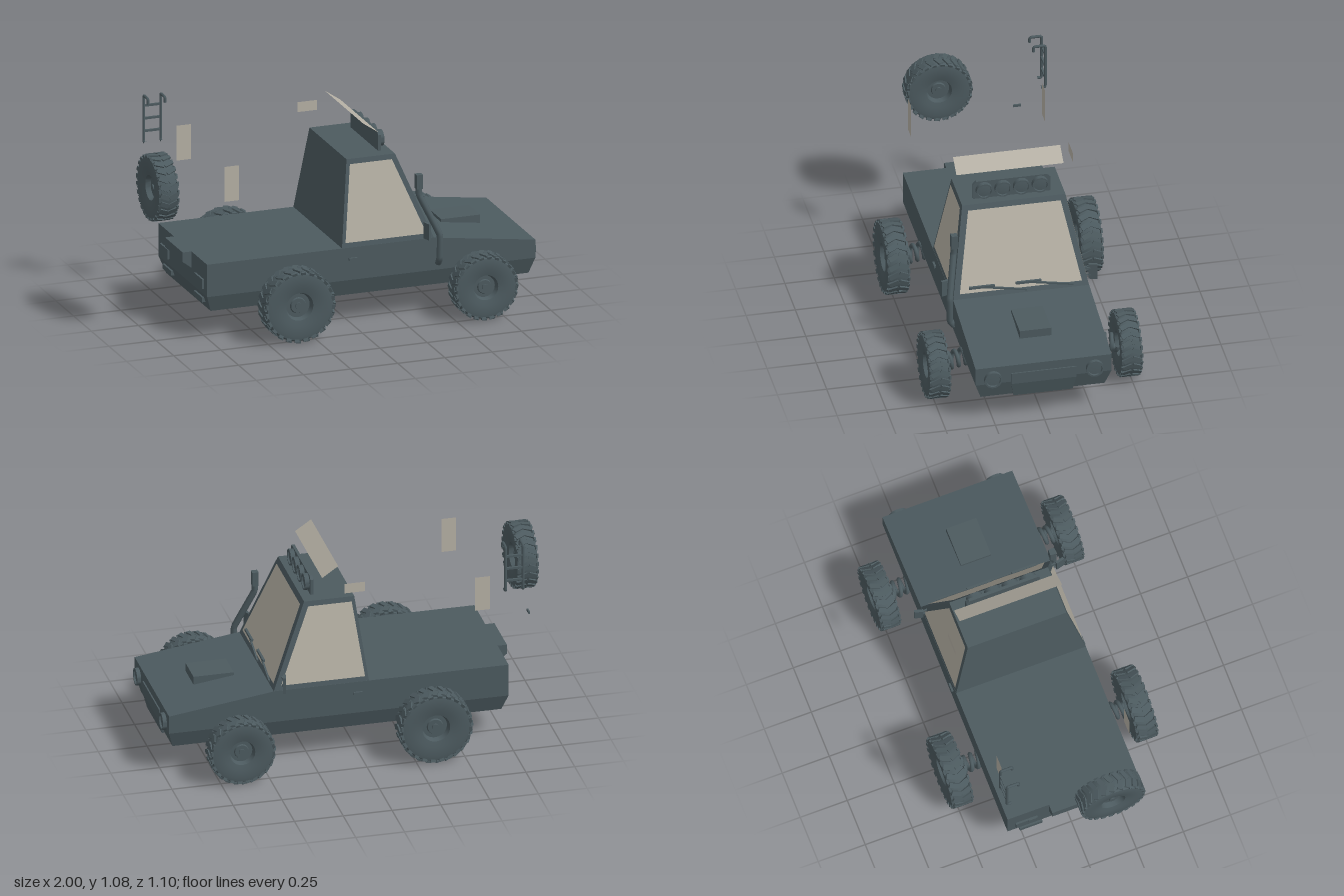
import * as THREE from 'three';
import { toCreasedNormals } from 'three/addons/utils/BufferGeometryUtils.js';
import { ConvexGeometry } from 'three/addons/geometries/ConvexGeometry.js';

const V = (x, y, z) => new THREE.Vector3(x, y, z);

export function createModel() {
  const root = new THREE.Group();
  const paint = new THREE.MeshStandardMaterial({ color: 0x4c5a5f });
  paint.name = 'slate paint';
  const glass = new THREE.MeshStandardMaterial({ color: 0xb5b0a4, side: THREE.DoubleSide });
  glass.name = 'smoked glass';

  const add = (name, geo, mat = paint, parent = root) => {
    const m = new THREE.Mesh(geo, mat);
    m.name = name;
    parent.add(m);
    return m;
  };
  const box = (name, w, h, d, x, y, z, parent = root) => {
    const m = add(name, new THREE.BoxGeometry(w, h, d), paint, parent);
    m.position.set(x, y, z);
    return m;
  };
  // Solid from a side profile of [x, y, half width]
  const slab = (name, profile) =>
    add(name, new ConvexGeometry(profile.flatMap(([x, y, w]) => [V(x, y, w), V(x, y, -w)])));
  // Flat four-cornered plate
  const pane = (name, corners) => {
    const g = new THREE.BufferGeometry().setFromPoints(corners);
    g.setIndex([0, 1, 2, 0, 2, 3]);
    g.computeVertexNormals();
    return add(name, g, glass);
  };
  const tube = (name, pts, r, tension = 0.1, parent = root) =>
    add(name, new THREE.TubeGeometry(
      new THREE.CatmullRomCurve3(pts, false, 'catmullrom', tension), pts.length * 6, r, 8), paint, parent);
  // Straight bar between two points
  const bar = (name, a, b, t) => {
    const m = add(name, new THREE.BoxGeometry(t, t, a.distanceTo(b)));
    m.position.copy(a).lerp(b, 0.5);
    m.lookAt(b);
    return m;
  };

  // Bodywork
  slab('upperBody', [[-0.765, 0.405, 0.345], [0.43, 0.405, 0.345], [0.975, 0.33, 0.345],
    [0.975, 0.235, 0.345], [-0.765, 0.235, 0.345]]);
  slab('lowerBody', [[-0.765, 0.235, 0.345], [0.975, 0.235, 0.345], [0.95, 0.15, 0.315], [-0.735, 0.15, 0.315]]);
  slab('cabin', [[-0.05, 0.4, 0.345], [0.44, 0.4, 0.345], [0.262, 0.84, 0.262], [0.005, 0.84, 0.262]]);
  slab('hoodScoop', [[0.575, 0.4, 0.08], [0.782, 0.4, 0.08], [0.782, 0.355, 0.08], [0.575, 0.38, 0.08]]);
  slab('rearLip', [[-0.76, 0.405, 0.125], [-0.812, 0.405, 0.125], [-0.812, 0.355, 0.125], [-0.76, 0.315, 0.125]]);
  slab('noseGuard', [[0.97, 0.285, 0.165], [0.982, 0.285, 0.165], [0.982, 0.225, 0.165], [0.97, 0.225, 0.165]]);
  slab('skidPlate', [[0.94, 0.225, 0.165], [0.982, 0.225, 0.165], [0.962, 0.145, 0.15], [0.94, 0.145, 0.15]]);

  // Cabin glass, laid just outside the frame
  const sideZ = y => 0.348 - (y - 0.4) * 0.1886;
  const screenX = y => 0.444 - (y - 0.4) * 0.4045;
  pane('windscreen', [[0.43, 0.31], [0.43, -0.31], [0.815, -0.235], [0.815, 0.235]]
    .map(([y, z]) => V(screenX(y), y, z)));
  for (const s of [1, -1]) {
    pane('sideWindow', [[-0.03, 0.43], [0.4, 0.43], [0.243, 0.815], [0.02, 0.815]]
      .map(([x, y]) => V(x, y, s * sideZ(y))));
  }

  // Detached glass plates
  const upright = (x0, x1, y0, y1, z) =>
    pane('loosePane', [V(x0, y0, z), V(x1, y0, z), V(x1, y1, z), V(x0, y1, z)]);
  upright(-0.67, -0.595, 0.722, 0.905, 0.34);
  upright(-0.67, -0.595, 0.722, 0.905, -0.34);
  upright(-0.03, 0.075, 0.9, 0.952, -0.34);
  pane('looseRoofPane', [V(0.09, 1.02, 0.272), V(0.172, 0.964, 0.272), V(0.172, 0.964, -0.272), V(0.09, 1.02, -0.272)]);

  // Round lamp facing forward
  const lamp = (name, x, y, z, r, depth) => {
    const pts = [[0, 0], [r, 0], [r, depth], [r * 0.82, depth], [r * 0.78, depth * 0.7], [0, depth * 0.85]];
    const g = new THREE.LatheGeometry(pts.map(p => new THREE.Vector2(...p)), 28);
    const m = add(name, toCreasedNormals(g, 0.5));
    m.rotation.z = -Math.PI / 2;
    m.position.set(x, y, z);
  };
  for (const s of [1, -1]) lamp('headlight', 0.965, 0.265, s * 0.258, 0.044, 0.03);

  // Roof light bar: chamfered board with four lamps
  const board = new THREE.Shape([[-0.196, 0.83], [0.196, 0.83], [0.196, 0.922], [0.18, 0.938], [-0.18, 0.938], [-0.196, 0.922]]
    .map(p => new THREE.Vector2(...p)));
  const boardMesh = add('lightBoard', new THREE.ExtrudeGeometry(board, { depth: 0.015, bevelEnabled: false }));
  boardMesh.rotation.y = Math.PI / 2;
  boardMesh.position.x = 0.198;
  for (const z of [-0.142, -0.047, 0.047, 0.142]) lamp('roofLight', 0.21, 0.89, z, 0.042, 0.026);

  // Wheel with its axle along z
  const wheel = (name, r, w, x, y, z) => {
    const g = new THREE.Group();
    g.name = name;
    const h = w / 2;
    const profile = [[0, -h * 0.45], [r * 0.2, -h * 0.45], [r * 0.22, -h * 0.3], [r * 0.33, -h * 0.3], [r * 0.38, -h * 0.8],
      [r * 0.55, -h * 0.94], [r * 0.8, -h], [r * 0.91, -h * 0.93], [r * 0.955, -h * 0.7], [r * 0.965, 0]];
    const pts = [...profile, ...profile.slice(0, -1).reverse().map(([a, b]) => [a, -b])];
    const tyre = add('tyre', toCreasedNormals(
      new THREE.LatheGeometry(pts.map(p => new THREE.Vector2(...p)), 40), 0.6), paint, g);
    tyre.rotation.x = Math.PI / 2;
    const cap = add('hubCap', new THREE.CylinderGeometry(r * 0.09, r * 0.09, w * 0.6, 16), paint, g);
    cap.rotation.x = Math.PI / 2;
    // Chevron tread with shoulder blocks
    const count = 24;
    for (let i = 0; i < count; i++) {
      const spoke = new THREE.Group();
      spoke.name = 'treadRow';
      spoke.rotation.z = (i / count) * Math.PI * 2;
      for (const s of [1, -1]) {
        const lug = box('treadLug', r * 0.14, r * 0.06, h * 0.92, 0, r * 0.968, s * h * 0.44, spoke);
        lug.rotation.y = s * 0.42;
        const shoulder = box('shoulderLug', r * 0.13, r * 0.14, h * 0.2, s * r * 0.09, r * 0.9, s * h * 0.86, spoke);
        shoulder.rotation.x = s * 0.35;
      }
      g.add(spoke);
    }
    g.position.set(x, y, z);
    root.add(g);
    return g;
  };
  // Coil running outward from the body to the wheel
  const coil = (x, y, s) => {
    const pts = [];
    for (let i = 0; i <= 48; i++) {
      const t = i / 48, a = t * Math.PI * 8;
      pts.push(V(x + 0.038 * Math.cos(a), y + 0.022 - 0.03 * t + 0.04 * Math.sin(a), s * (0.3 + 0.14 * t)));
    }
    tube('coilSpring', pts, 0.011, 0.5);
  };
  for (const s of [1, -1]) {
    wheel('rearWheel', 0.189, 0.112, -0.345, 0.195, s * 0.491);
    wheel('frontWheel', 0.17, 0.106, 0.645, 0.175, s * 0.487);
    coil(-0.345, 0.195, s);
    coil(0.645, 0.19, s);
  }
  wheel('spareWheel', 0.17, 0.106, -0.946, 0.768, 0.131).rotation.y = Math.PI / 2;

  // Mirrors, door handles and tail lamps
  for (const s of [1, -1]) {
    box('mirror', 0.014, 0.085, 0.045, 0.392, 0.453, s * 0.375).rotation.y = s * 0.25;
    for (const y of [0.435, 0.472]) box('mirrorArm', 0.008, 0.008, 0.05, 0.392, y, s * 0.34);
    box('doorHandle', 0.045, 0.012, 0.014, 0.008, 0.345, s * 0.348);
    box('tailLamp', 0.014, 0.05, 0.115, -0.768, 0.29, s * 0.245);
    box('rearStep', 0.02, 0.025, 0.12, -0.757, 0.2, s * 0.22);
  }
  box('looseHandle', 0.008, 0.012, 0.04, -0.888, 0.645, -0.26);

  // Wipers on the windscreen
  for (const z of [0.262, 0.025]) {
    const on = (y, zz) => V(screenX(y) + 0.006, y, zz);
    bar('wiperBlade', on(0.456, z), on(0.456, z - 0.13), 0.012);
    bar('wiperArm', on(0.458, z - 0.05), on(0.422, z - 0.29), 0.009);
  }

  // Air intake running up the left windscreen pillar
  tube('intakePipe', [V(0.46, 0.27, 0.345), V(0.46, 0.3, 0.366), V(0.46, 0.425, 0.367), V(0.366, 0.63, 0.328), V(0.365, 0.7, 0.325)], 0.017);
  box('intakeHead', 0.032, 0.075, 0.032, 0.365, 0.702, 0.325);

  // Ladder with hooked rails
  for (const x of [-0.832, -0.742]) {
    tube('ladderRail', [V(x, 1.045, -0.313), V(x, 1.067, -0.313), V(x, 1.073, -0.32), V(x, 1.073, -0.366),
      V(x, 1.066, -0.373), V(x, 0.84, -0.373), V(x, 0.831, -0.368), V(x, 0.831, -0.35)], 0.0075);
  }
  for (const y of [1.02, 0.953, 0.887]) bar('ladderRung', V(-0.832, y, -0.373), V(-0.742, y, -0.373), 0.011);

  return root;
}
